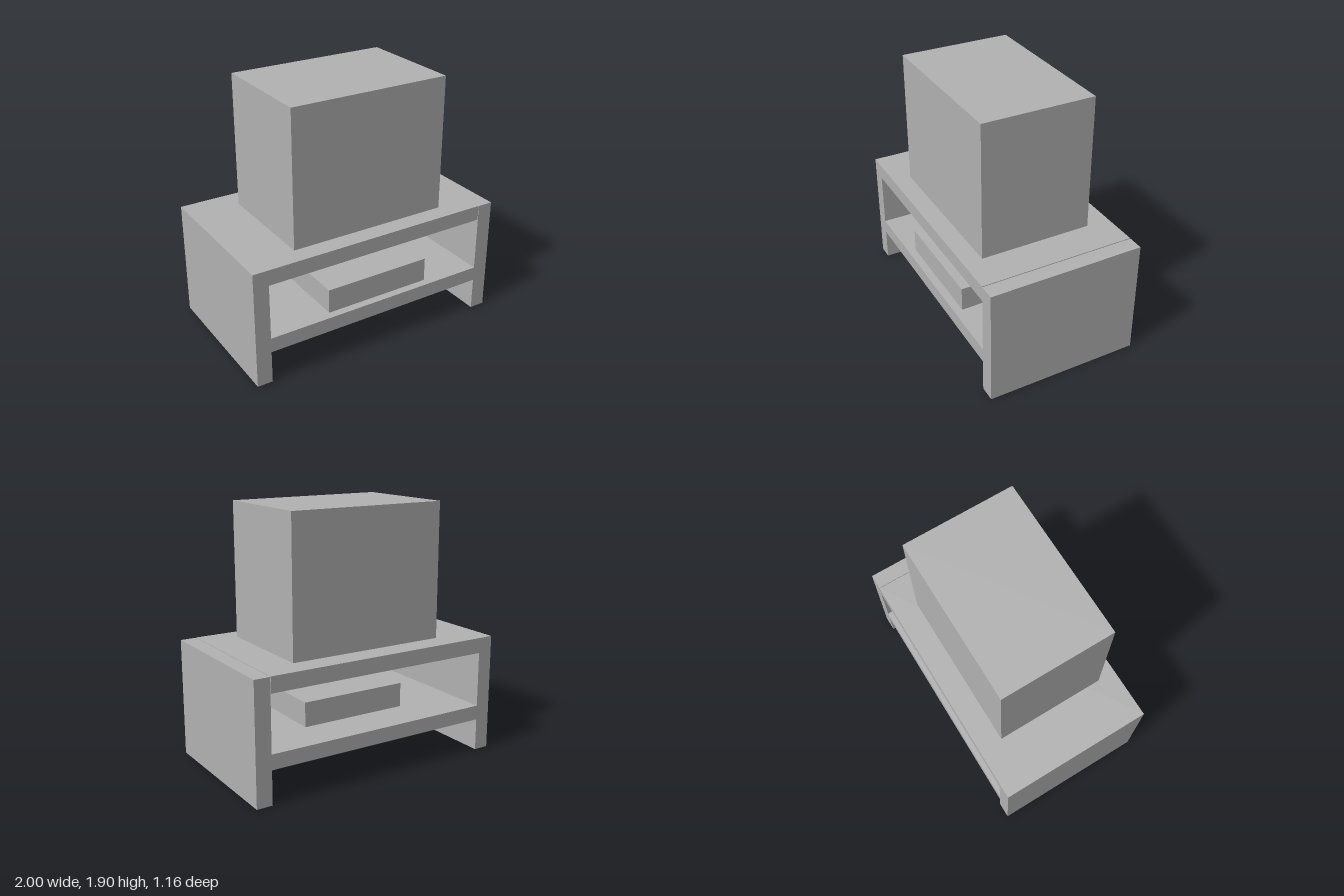
import * as THREE from 'three';

export function createModel() {
  const group = new THREE.Group();
  const grey = new THREE.MeshStandardMaterial({ color: 0xb2b2b2 });
  grey.name = 'grey';

  // Box given by its extents on each axis
  function slab(name, [x0, x1], [y0, y1], [z0, z1]) {
    const mesh = new THREE.Mesh(new THREE.BoxGeometry(x1 - x0, y1 - y0, z1 - z0), grey);
    mesh.position.set((x0 + x1) / 2, (y0 + y1) / 2, (z0 + z1) / 2);
    mesh.name = name;
    group.add(mesh);
  }

  const depth = [-0.58, 0.58];

  // Stand: two side panels, top board and middle shelf
  slab('rightSidePanel', [-1, -0.885], [0.007, 0.775], depth);
  slab('leftSidePanel', [0.882, 1], [0, 0.888], depth);
  slab('topBoard', [-1, 0.878], [0.775, 0.89], depth);
  slab('shelf', [-0.885, 0.882], [0.25, 0.36], depth);

  // Player on the shelf and television on top
  slab('player', [-0.39, 0.443], [0.36, 0.543], [-0.27, 0.52]);
  slab('television', [-0.615, 0.61], [0.89, 1.903], [-0.4, 0.44]);

  return group;
}
